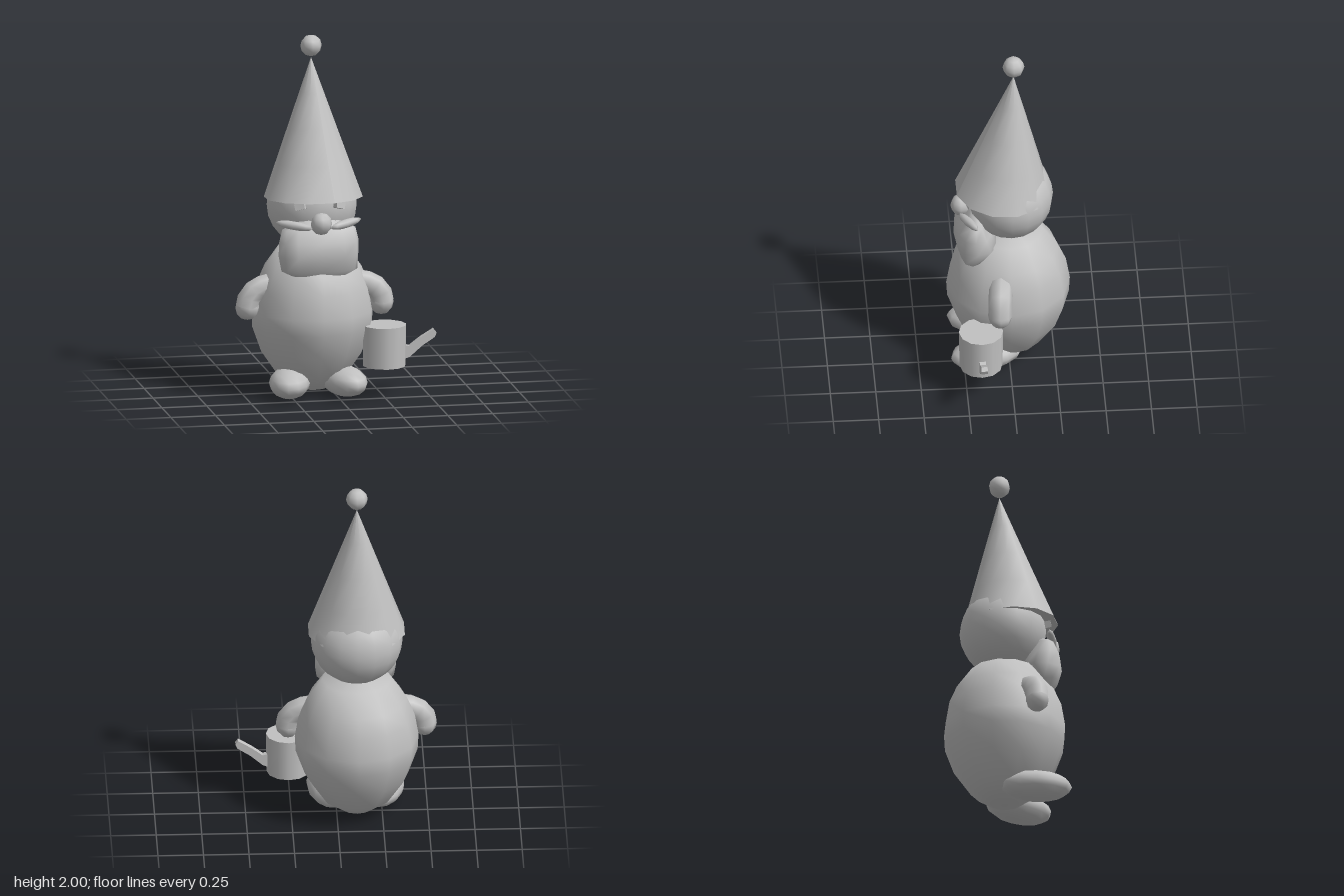
import * as THREE from 'three';
import { mergeVertices } from 'three/addons/utils/BufferGeometryUtils.js';

const CX = -0.11; // the figure stands left of the centre, the watering can balances it

// Smooth loft through stacked elliptical rings: [y, halfWidth, zFront, zBack]
function loft(levels, sides, power) {
  const geo = new THREE.CylinderGeometry(1, 1, 1, sides, levels.length - 1, true);
  const pos = geo.attributes.position;
  const bend = (v) => Math.sign(v) * Math.pow(Math.abs(v), power);
  for (let i = 0; i < pos.count; i++) {
    const row = Math.round((0.5 - pos.getY(i)) * (levels.length - 1));
    const [y, w, zf, zb] = levels[row];
    pos.setXYZ(i, bend(pos.getX(i)) * w, y, (zf + zb) / 2 + bend(pos.getZ(i)) * (zf - zb) / 2);
  }
  geo.deleteAttribute('uv');
  geo.deleteAttribute('normal');
  const merged = mergeVertices(geo, 1e-4);
  merged.computeVertexNormals();
  return merged;
}

export function createModel() {
  const model = new THREE.Group();
  model.name = 'gardenGnome';
  const clay = new THREE.MeshStandardMaterial({ color: 0xc0c0c0 });
  clay.name = 'clay grey';

  const gnome = new THREE.Group();
  gnome.name = 'gnome';
  gnome.position.x = CX;
  model.add(gnome);

  function add(parent, name, geo, x = 0, y = 0, z = 0) {
    const mesh = new THREE.Mesh(geo, clay);
    mesh.name = name;
    mesh.position.set(x, y, z);
    parent.add(mesh);
    return mesh;
  }
  function blob(name, [x, y, z], [rx, ry, rz], w = 12, h = 8) {
    return add(gnome, name, new THREE.SphereGeometry(1, w, h).scale(rx, ry, rz), x, y, z);
  }

  // Egg-shaped body
  const profile = [[0, 0.015], [0.09, 0.03], [0.19, 0.1], [0.285, 0.24], [0.335, 0.38], [0.34, 0.47],
    [0.318, 0.6], [0.275, 0.7], [0.19, 0.82], [0, 0.85]].map(([r, y]) => new THREE.Vector2(r, y));
  add(gnome, 'body', new THREE.LatheGeometry(profile, 12));

  // Head and face
  blob('head', [0, 1.06, -0.01], [0.252, 0.24, 0.237], 16, 12);
  blob('nose', [0, 1.0, 0.262], [0.06, 0.062, 0.055], 8, 6);
  add(gnome, 'beard', loft([
    [1.02, 0.002, 0.19, 0.18], [1.015, 0.09, 0.21, 0.13], [0.96, 0.205, 0.245, 0.13], [0.89, 0.222, 0.287, 0.09],
    [0.81, 0.223, 0.3, 0.055], [0.73, 0.212, 0.272, 0.14], [0.69, 0.13, 0.245, 0.18], [0.685, 0.002, 0.22, 0.21],
  ], 12, 0.75));

  for (const side of [-1, 1]) {
    const label = side > 0 ? 'left' : 'right';

    const brow = add(gnome, label + 'Eyebrow', new THREE.BoxGeometry(0.055, 0.038, 0.035), side * 0.11, 1.092, 0.215);
    brow.rotation.set(-0.2, side * 0.4, side * -0.2);

    // Moustache half sweeping out beyond the beard
    const tip = blob(label + 'Moustache', [side * 0.145, 0.988, 0.225], [0.105, 0.024, 0.025], 8, 6);
    tip.rotation.set(0, side * 0.45, side * 0.12);

    // Arm with rounded hand
    const path = new THREE.CatmullRomCurve3([
      new THREE.Vector3(side * 0.2, 0.63, 0.05),
      new THREE.Vector3(side * 0.315, 0.605, 0.06),
      new THREE.Vector3(side * 0.365, 0.56, 0.065),
      new THREE.Vector3(side * 0.377, 0.505, 0.067),
    ]);
    add(gnome, label + 'Arm', new THREE.TubeGeometry(path, 5, 0.066, 8, false));
    blob(label + 'Hand', [side * 0.375, 0.505, 0.067], [0.068, 0.07, 0.066], 8, 6);

    // Foot, toes turned slightly out
    const foot = blob(label + 'Foot', [side * 0.152, 0.086, 0.13], [0.113, 0.083, 0.2], 12, 8);
    foot.rotation.y = side * 0.22;
  }

  // Pointed hat, leaning back towards its tip
  const hatGeo = new THREE.ConeGeometry(0.273, 0.77, 12, 4, false, Math.PI / 12);
  const hp = hatGeo.attributes.position;
  for (let i = 0; i < hp.count; i++) {
    const t = hp.getY(i) / 0.77 + 0.5;
    const z = hp.getZ(i);
    hp.setY(i, 1.105 + t * 0.77 + (1 - t) * z * 0.05);
    hp.setZ(i, z * 0.96 + 0.033 - 0.063 * t);
  }
  hatGeo.computeVertexNormals();
  add(gnome, 'hat', hatGeo);
  blob('pompom', [0, 1.94, -0.03], [0.06, 0.06, 0.06], 8, 6);

  // Watering can
  const can = new THREE.Group();
  can.name = 'wateringCan';
  model.add(can);
  add(can, 'canBody', new THREE.CylinderGeometry(0.122, 0.118, 0.23, 12), 0.26, 0.285, 0.172);
  const outline = [[0.36, 0.2], [0.4, 0.215], [0.47, 0.275], [0.54, 0.32], [0.55, 0.345],
    [0.535, 0.365], [0.46, 0.32], [0.4, 0.275], [0.36, 0.285]].map(([x, y]) => new THREE.Vector2(x, y));
  add(can, 'spout', new THREE.ExtrudeGeometry(new THREE.Shape(outline), { depth: 0.034, bevelEnabled: false }), 0, 0, 0.153);

  return model;
}
